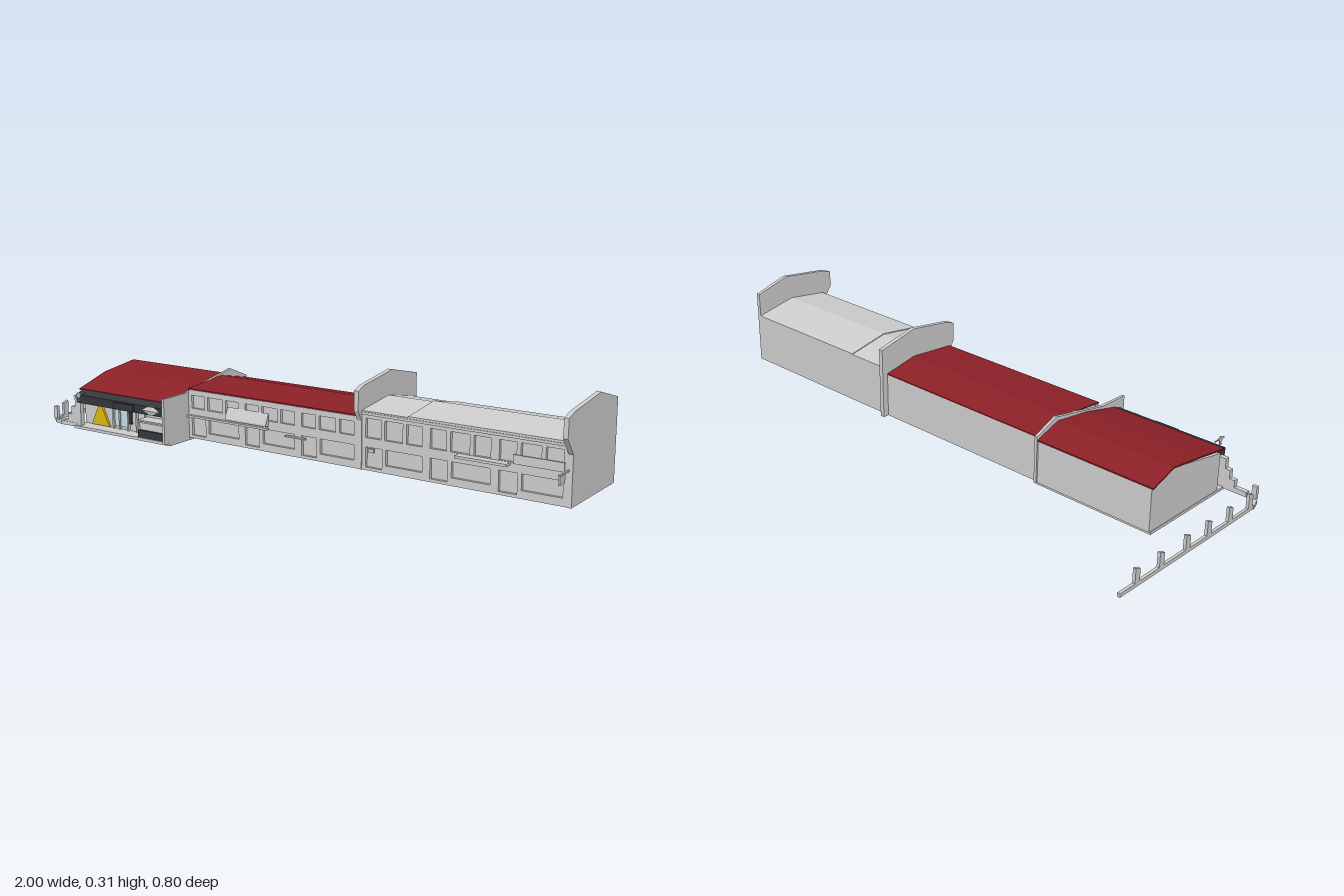
import * as THREE from 'three';

export function createModel() {
  const root = new THREE.Group();
  const mat = color => new THREE.MeshStandardMaterial({ color, flatShading: true });
  const grey = mat(0xcccccc), red = mat(0x8a2027), dark = mat(0x34373c), yellow = mat(0xd9b412), glass = mat(0xc4dbe4);

  const add = (name, geo, material = grey, parent = root) => {
    const m = new THREE.Mesh(geo, material);
    m.name = name;
    parent.add(m);
    return m;
  };
  // box given by its limits on each axis
  const box = (name, x0, x1, y0, y1, z0, z1, material, parent) => add(name,
    new THREE.BoxGeometry(x1 - x0, y1 - y0, z1 - z0).translate((x0 + x1) / 2, (y0 + y1) / 2, (z0 + z1) / 2), material, parent);
  // side profile of [z, y] points, extruded from x0 to x1
  const slabGeo = (pts, x0, x1) => new THREE.ExtrudeGeometry(
    new THREE.Shape(pts.map(p => new THREE.Vector2(p[0], p[1]))), { depth: x1 - x0, bevelEnabled: false })
    .rotateY(-Math.PI / 2).translate(x1, 0, 0);
  const slab = (name, pts, x0, x1, material, parent) => add(name, slabGeo(pts, x0, x1), material, parent);
  // roof sheet: an upper line of points thickened downwards
  const sheet = (line, t) => [...line, ...line.slice().reverse().map(([z, y]) => [z, y - t])];

  // Fire walls between and at the end of the terraces
  slab('endWall', [[0.243, 0.01], [0.243, 0.167], [0.285, 0.22], [0.283, 0.28], [0.245, 0.292],
    [0.063, 0.315], [-0.068, 0.277], [-0.068, 0.01]], 0.985, 1);
  slab('middleWall', [[0.243, 0.01], [0.243, 0.167], [0.262, 0.2], [0.262, 0.264], [0.23, 0.277],
    [0.063, 0.3], [-0.09, 0.264], [-0.09, 0.01]], 0.278, 0.294);
  slab('cornerWall', [[0.367, 0.01], [0.367, 0.167], [0.25, 0.168], [0.01, 0.213], [-0.08, 0.175], [-0.08, 0.01]], -0.42, -0.41);

  // Shop front with recessed panes, closed behind by a thin panel
  const shopFront = (parent, x0, x1, top, bays) => {
    const shape = new THREE.Shape();
    shape.moveTo(x0, 0.01).lineTo(x1, 0.01).lineTo(x1, top).lineTo(x0, top).closePath();
    const hole = (a, b, c, d) => {
      const h = new THREE.Path();
      h.moveTo(a, c).lineTo(a, d).lineTo(b, d).lineTo(b, c).closePath();
      shape.holes.push(h);
    };
    const w = (x1 - x0) / bays;
    for (let i = 0; i < bays; i++) {
      const x = x0 + i * w;
      hole(x + w * 0.06, x + w * 0.32, 0.02, 0.085);   // door
      hole(x + w * 0.38, x + w * 0.94, 0.035, 0.085);  // display window
      for (const [a, b] of [[0.06, 0.3], [0.36, 0.64], [0.7, 0.94]])
        hole(x + w * a, x + w * b, 0.115, top - 0.018);
    }
    add('shopFrontFrame', new THREE.ExtrudeGeometry(shape, { depth: 0.01, bevelEnabled: false }).translate(0, 0, 0.23), grey, parent);
    box('shopFrontPanel', x0, x1, 0.01, top, 0.225, 0.23, grey, parent);
  };

  // Two terraces, open below, with an upper floor over the shops
  const terrace = (name, x0, x1, front, ridge, rear, ridgeZ, roofMat, partitions) => {
    const g = new THREE.Group();
    g.name = name;
    root.add(g);
    shopFront(g, x0, x1, front - 0.005, 3);
    box('rearWall', x0, x1, 0.01, rear - 0.001, -0.068, -0.06, grey, g);
    box('upperFloor', x0, x1, 0.098, 0.104, -0.06, 0.225, grey, g);
    for (const t of partitions) {
      const x = x0 + (x1 - x0) * t;
      box('partition', x - 0.003, x + 0.003, 0.012, 0.098, -0.06, 0.225, grey, g);
    }
    slab('roof', sheet([[-0.0685, rear], [ridgeZ, ridge], [0.241, front]], 0.004), x0, x1, roofMat, g);
    return g;
  };
  const mid = terrace('middleTerrace', -0.41, 0.278, 0.183, 0.197, 0.17, 0.06, red, [1 / 3, 2 / 3]);
  const right = terrace('rightTerrace', 0.294, 0.985, 0.2, 0.22, 0.188, 0.085, grey, [1 / 3, 2 / 3]);
  box('cornice', 0.294, 0.985, 0.188, 0.196, 0.238, 0.244, grey, right);
  slab('raisedRoofPanel', sheet([[-0.0685, 0.191], [0.085, 0.223], [0.241, 0.203]], 0.005), 0.46, 0.985, grey, right);

  // Canopies, awnings and sign boards along the street side
  slab('awning', [[0.24, 0.14], [0.256, 0.104], [0.256, 0.098], [0.24, 0.098]], -0.24, -0.07, grey, mid);
  box('ledge', -0.41, -0.07, 0.085, 0.092, 0.24, 0.252, grey, mid);
  slab('smallAwning', [[0.24, 0.079], [0.246, 0.077], [0.246, 0.073], [0.24, 0.073]], 0, 0.08, grey, mid);
  box('canopy', 0.635, 0.805, 0.106, 0.114, 0.24, 0.268, grey, right);
  box('signBoard', 0.815, 0.975, 0.112, 0.14, 0.24, 0.244, grey, right);
  box('signBracket', 0.984, 0.99, 0.117, 0.121, 0.24, 0.308, grey, right);
  box('hangingSign', 0.984, 0.99, 0.09, 0.116, 0.27, 0.305, grey, right);
  box('wallBox', 0.32, 0.34, 0.07, 0.082, 0.238, 0.244, grey, right);

  // Corner shop: floor, solid body and gables
  const shop = new THREE.Group();
  shop.name = 'cornerShop';
  root.add(shop);
  box('floor', -0.86, -0.412, 0, 0.01, -0.068, 0.34, grey, shop);
  slab('body', [[0.285, 0.01], [0.285, 0.14], [0.02, 0.19], [-0.074, 0.16], [-0.074, 0.01]], -0.858, -0.42, grey, shop);
  // Roof with its front left corner drawn in
  const roofGeo = slabGeo(sheet([[-0.078, 0.164], [0.02, 0.197], [0.17, 0.177], [0.318, 0.142]], 0.005), -0.866, -0.42);
  const p = roofGeo.attributes.position;
  for (let i = 0; i < p.count; i++) if (p.getZ(i) > 0.2 && p.getX(i) < -0.8) p.setX(i, -0.85);
  roofGeo.computeVertexNormals();
  add('roof', roofGeo, red, shop);
  slab('fascia', [[0.3, 0.098], [0.348, 0.098], [0.35, 0.128], [0.318, 0.14], [0.3, 0.14]], -0.835, -0.42, dark, shop);
  box('fasciaSign', -0.65, -0.56, 0.102, 0.125, 0.345, 0.358, dark, shop);

  // Corner shop front: yellow panel, glazing, frames and counter
  const tri = new THREE.Shape([[-0.82, 0.012], [-0.735, 0.012], [-0.777, 0.1]].map(a => new THREE.Vector2(...a)));
  add('yellowPanel', new THREE.ExtrudeGeometry(tri, { depth: 0.008, bevelEnabled: false }).translate(0, 0, 0.285), yellow, shop);
  box('glazing', -0.71, -0.645, 0.02, 0.1, 0.285, 0.289, glass, shop);
  for (const x of [-0.715, -0.685, -0.645, -0.605, -0.565])
    box('windowPost', x - 0.003, x + 0.003, 0.01, 0.1, 0.285, 0.294, grey, shop);
  box('door', -0.642, -0.63, 0.035, 0.1, 0.285, 0.291, dark, shop);
  box('counterBase', -0.56, -0.42, 0.01, 0.035, 0.285, 0.335, dark, shop);
  box('counter', -0.56, -0.42, 0.035, 0.06, 0.285, 0.325, grey, shop);
  box('shelf', -0.56, -0.42, 0.066, 0.071, 0.285, 0.335, grey, shop);
  add('lampShade', new THREE.CylinderGeometry(0.012, 0.04, 0.014, 8).scale(1, 1, 0.15).translate(-0.485, 0.121, 0.35), grey, shop);
  add('lampBowl', new THREE.CylinderGeometry(0.04, 0.012, 0.014, 8).scale(1, 1, 0.15).translate(-0.485, 0.107, 0.35), grey, shop);

  // Round sign on a bracket
  add('roundSign', new THREE.CylinderGeometry(0.01, 0.01, 0.005, 12).rotateZ(Math.PI / 2).translate(-0.797, 0.134, 0.378), grey, shop);
  box('signArm', -0.799, -0.795, 0.134, 0.137, 0.345, 0.398, grey, shop);
  box('signHanger', -0.799, -0.795, 0.115, 0.134, 0.375, 0.378, grey, shop);
  box('signFoot', -0.799, -0.795, 0.114, 0.117, 0.366, 0.386, grey, shop);

  // Stepped garden wall beside the shop
  for (const [x0, x1, h] of [[-0.945, -0.9, 0.022], [-0.9, -0.88, 0.047], [-0.88, -0.862, 0.076], [-0.862, -0.835, 0.11]])
    box('steppedWall', x0, x1, 0.005, h, 0.315, 0.332);

  // Kerb that turns the corner, with posts whose tops slope
  const kerb = [[-0.995, -0.396], [-0.995, 0.27], [-0.985, 0.302], [-0.965, 0.32], [-0.93, 0.328], [-0.85, 0.326]];
  for (let i = 0; i < kerb.length - 1; i++) {
    const [ax, az] = kerb[i], [bx, bz] = kerb[i + 1];
    const m = add('kerb', new THREE.BoxGeometry(i ? 0.014 : 0.01, 0.013, Math.hypot(bx - ax, bz - az) + 0.004));
    m.position.set((ax + bx) / 2, 0.0105, (az + bz) / 2);
    m.rotation.y = Math.atan2(bx - ax, bz - az);
  }
  for (const z of [-0.32, -0.206, -0.078, 0.03, 0.142, 0.252])
    slab('kerbPost', [[z - 0.011, 0.015], [z - 0.011, 0.067], [z + 0.011, 0.059], [z + 0.011, 0.015]], -1, -0.99);
  box('cornerPost', -0.985, -0.968, 0.015, 0.06, 0.306, 0.318);
  return root;
}
